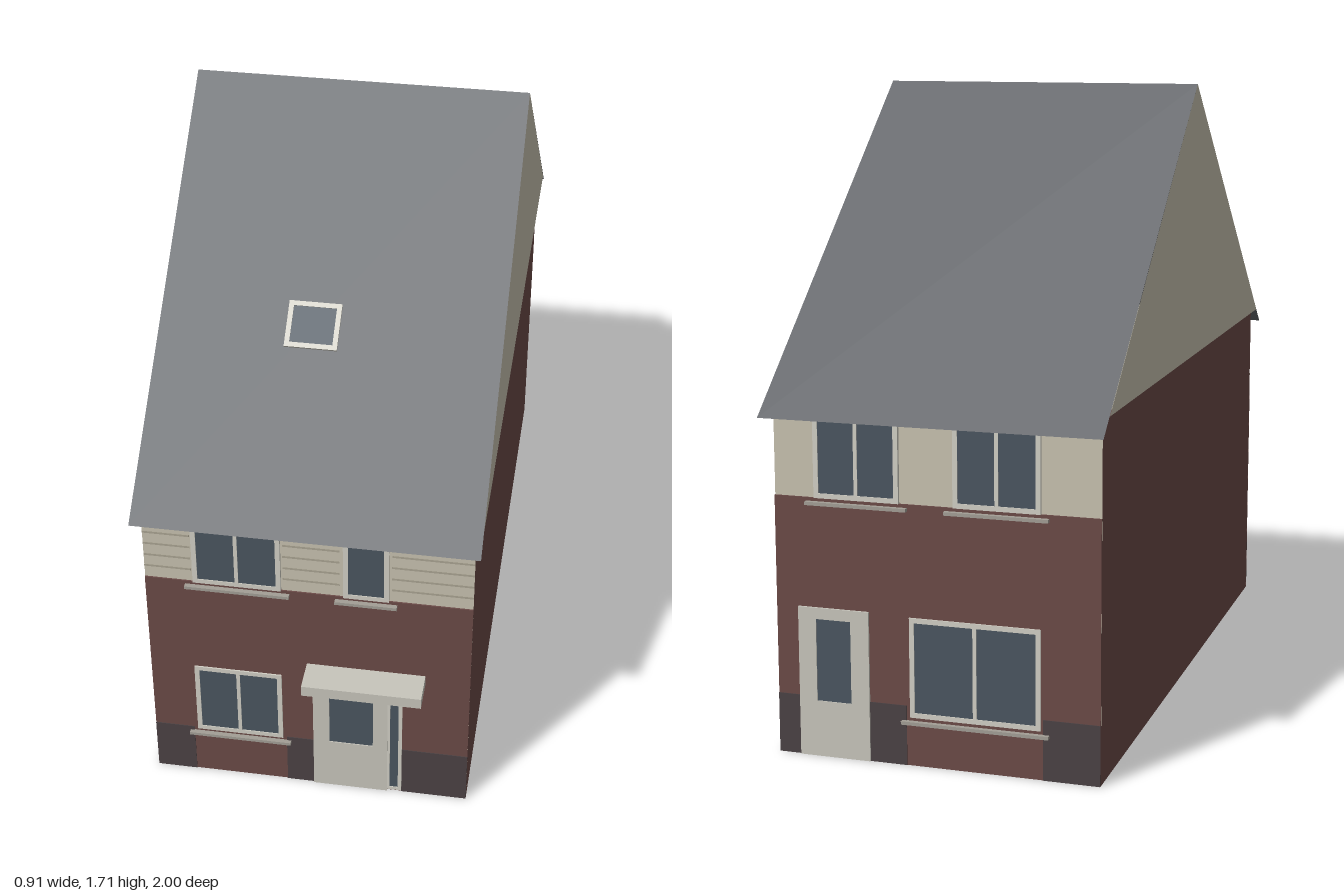
import * as THREE from 'three';

const mat = (color) => new THREE.MeshStandardMaterial({ color, side: THREE.DoubleSide, flatShading: true });
const M = {
  brick: mat(0x6b4a47), cream: mat(0xc8c2b0), plinth: mat(0x4b4244), roof: mat(0x63666a),
  glass: mat(0x4a5560), frame: mat(0xd2d0c6), door: mat(0xc8c6bc), sill: mat(0xa39f96), line: mat(0xaaa493),
};
const W = 0.435, ROOF_W = 0.453, FRONT = 0.905, BACK = -0.94, EAVE = 0.946, RIDGE_Y = 1.71, RIDGE_Z = -0.02, SLOPE = 0.826;

function add(parent, name, geometry, material) {
  const mesh = new THREE.Mesh(geometry, material);
  mesh.name = name;
  parent.add(mesh);
  return mesh;
}

// Box given by its extents
function box(parent, name, material, x0, x1, y0, y1, z0, z1) {
  const mesh = add(parent, name, new THREE.BoxGeometry(x1 - x0, y1 - y0, z1 - z0), material);
  mesh.position.set((x0 + x1) / 2, (y0 + y1) / 2, (z0 + z1) / 2);
}

// Flat polygon from corners in counter-clockwise order
function sheet(parent, name, material, corners) {
  const g = new THREE.BufferGeometry();
  g.setAttribute('position', new THREE.Float32BufferAttribute(corners.flat(), 3));
  g.setIndex(corners.length === 4 ? [0, 1, 2, 0, 2, 3] : [0, 1, 2]);
  g.computeVertexNormals();
  add(parent, name, g, material);
}

function rect(Type, x0, x1, y0, y1) {
  const p = new Type();
  p.moveTo(x0, y0); p.lineTo(x1, y0); p.lineTo(x1, y1); p.lineTo(x0, y1); p.closePath();
  return p;
}

// Frame with glazed openings [x0, x1, y0, y1]
function glazed(parent, name, material, [x0, x1, y0, y1], panes, depth) {
  const group = new THREE.Group();
  group.name = name;
  const shape = rect(THREE.Shape, x0, x1, y0, y1);
  panes.forEach((p) => {
    shape.holes.push(rect(THREE.Path, ...p));
    box(group, 'glass', M.glass, ...p, 0, depth * 0.75);
  });
  add(group, 'frame', new THREE.ExtrudeGeometry(shape, { depth, bevelEnabled: false }), material);
  parent.add(group);
  return group;
}

// Window of equal panes, with an optional sill
function windowUnit(parent, name, x0, x1, y0, y1, count, sill = true) {
  const edge = 0.013, bar = 0.01;
  const w = (x1 - x0 - 2 * edge - (count - 1) * bar) / count;
  const panes = Array.from({ length: count }, (_, i) => {
    const a = x0 + edge + i * (w + bar);
    return [a, a + w, y0 + edge, y1 - edge];
  });
  const group = glazed(parent, name, M.frame, [x0, x1, y0, y1], panes, 0.009);
  if (sill) box(group, 'sill', M.sill, x0 - 0.022, x1 + 0.022, y0 - 0.018, y0 - 0.009, 0, 0.018);
}

// End wall: cream skin with brick and plinth strips, in its own frame facing +z
function facade(name, plinths) {
  const group = new THREE.Group();
  group.name = name;
  sheet(group, 'claddingWall', M.cream, [[-W, 0, 0], [W, 0, 0], [W, 0.944, 0], [-W, 0.944, 0]]);
  box(group, 'brickFacing', M.brick, -W, W, 0, 0.69, 0.001, 0.005);
  plinths.forEach(([a, b]) => box(group, 'plinth', M.plinth, a, b, 0, 0.16, 0.004, 0.007));
  return group;
}

export function createModel() {
  const house = new THREE.Group();
  house.name = 'house';

  // Side walls, gables and the soffits between them
  for (const s of [-1, 1]) {
    const side = (name, m, pts) => sheet(house, name, m, s > 0 ? pts : pts.reverse());
    side('sideWall', M.brick, [[s * W, 0, FRONT], [s * W, 0, BACK], [s * W, EAVE, BACK], [s * W, EAVE, FRONT]]);
    side('gable', M.cream, [[s * ROOF_W, EAVE, FRONT], [s * ROOF_W, EAVE, BACK], [s * ROOF_W, RIDGE_Y, RIDGE_Z]]);
    side('soffit', M.brick, [[s * W, EAVE, FRONT], [s * W, EAVE, BACK], [s * ROOF_W, EAVE, BACK], [s * ROOF_W, EAVE, FRONT]]);
  }

  // Thin roof slopes overhanging both ends
  for (const s of [-1, 1]) {
    const z = RIDGE_Z + s * 0.98, y = RIDGE_Y - 0.98 * SLOPE, x = s * ROOF_W;
    sheet(house, s > 0 ? 'frontRoof' : 'backRoof', M.roof,
      [[-x, y, z], [x, y, z], [x, RIDGE_Y, RIDGE_Z], [-x, RIDGE_Y, RIDGE_Z]]);
  }

  // Front
  const front = facade('front', [[-W, -0.325], [-0.065, 0.01], [0.255, W]]);
  front.position.z = FRONT;
  for (const y of [0.725, 0.762, 0.8, 0.837, 0.873]) {
    for (const [a, b] of [[-W, -0.31], [-0.065, 0.085], [0.222, W]]) {
      box(front, 'claddingJoint', M.line, a, b, y, y + 0.006, 0, 0.002);
    }
  }
  windowUnit(front, 'upperLeftWindow', -0.305, -0.07, 0.69, 0.925, 2);
  windowUnit(front, 'upperRightWindow', 0.095, 0.215, 0.69, 0.925, 1);
  windowUnit(front, 'lowerWindow', -0.315, -0.075, 0.157, 0.39, 2);
  glazed(front, 'frontDoor', M.door, [0.01, 0.215, 0, 0.41], [[0.055, 0.175, 0.165, 0.37]], 0.011);
  glazed(front, 'sidelight', M.frame, [0.215, 0.255, 0.005, 0.38], [[0.222, 0.245, 0.015, 0.37]], 0.009);
  box(front, 'canopy', M.door, -0.005, 0.315, 0.41, 0.442, 0, 0.095);

  // Back
  const back = facade('back', [[-W, -0.374], [-0.18, -0.08], [0.285, W]]);
  back.position.z = BACK;
  back.rotation.y = Math.PI;
  windowUnit(back, 'upperWindow', -0.325, -0.095, 0.69, 0.925, 2);
  windowUnit(back, 'upperWindow', 0.05, 0.28, 0.69, 0.925, 2);
  windowUnit(back, 'lowerWindow', -0.07, 0.28, 0.13, 0.395, 2);
  glazed(back, 'backDoor', M.door, [-0.374, -0.18, 0, 0.4], [[-0.325, -0.23, 0.15, 0.37]], 0.011);

  // Skylight lying on the front slope
  const skylight = new THREE.Group();
  skylight.name = 'skylight';
  windowUnit(skylight, 'skylightWindow', -0.07, 0.07, -0.063, 0.063, 1, false);
  skylight.position.set(-0.045, 1.265, RIDGE_Z + (RIDGE_Y - 1.265) / SLOPE);
  skylight.rotation.x = Math.atan(SLOPE) - Math.PI / 2;

  house.add(front, back, skylight);
  return house;
}
